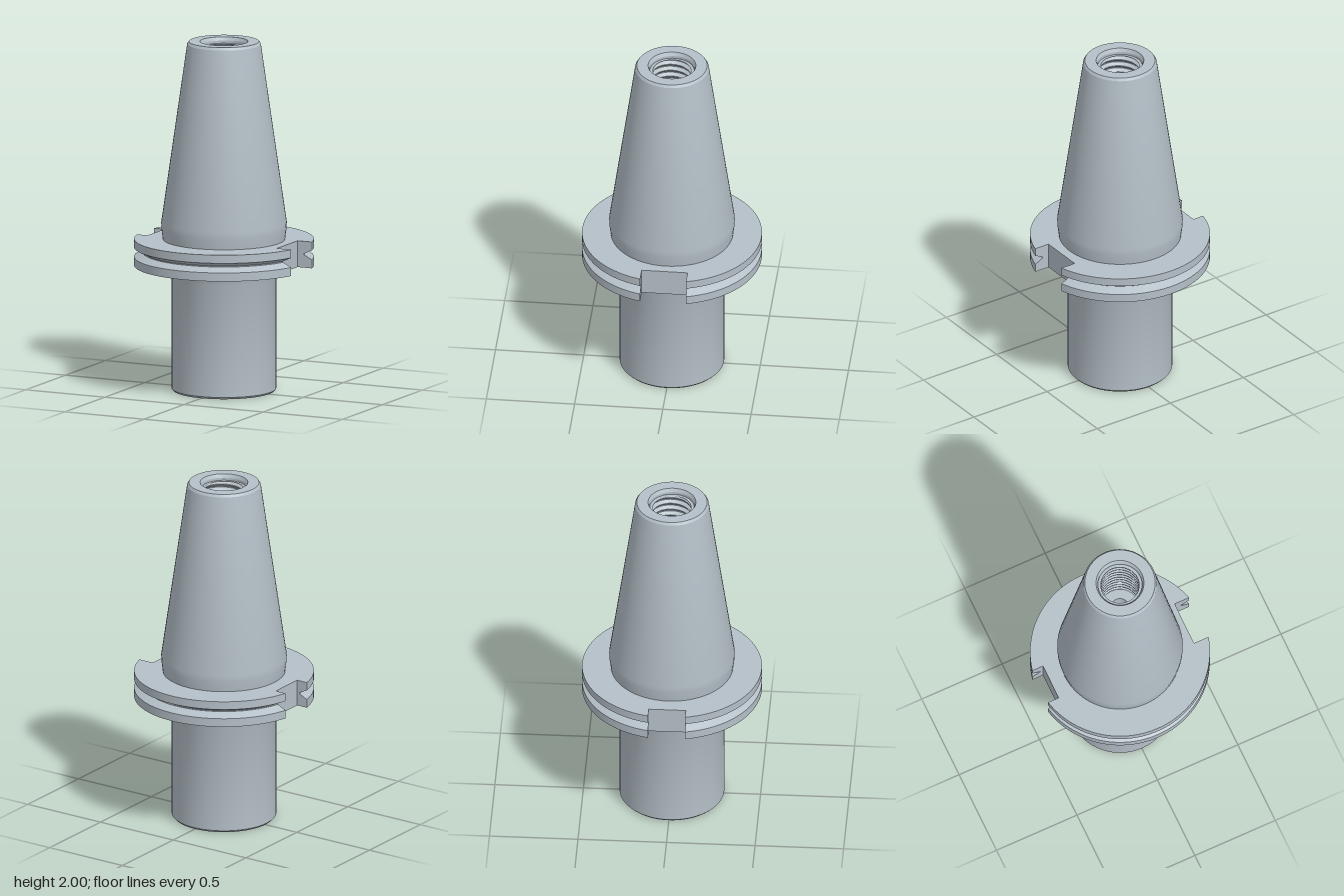
import * as THREE from 'three';
import { toCreasedNormals } from 'three/addons/utils/BufferGeometryUtils.js';

const steel = new THREE.MeshStandardMaterial({ color: 0xb5c0c8 });
steel.name = 'steel';

function part(name, geometry, parent) {
  const mesh = new THREE.Mesh(geometry, steel);
  mesh.name = name;
  parent.add(mesh);
  return mesh;
}

// Profile of [radius, y]; rising points face outward, falling points face inward
function turned(profile, segments = 64) {
  const points = profile.map(([r, y]) => new THREE.Vector2(r, y));
  return new THREE.LatheGeometry(points, segments);
}
const crisp = (geometry) => toCreasedNormals(geometry, 0.4);

function circle(x, y, r) {
  return new THREE.Path().absarc(x, y, r, 0, Math.PI * 2, true);
}

// Flat face at height y, looking up or down
function flatFace(shape, y, up) {
  return new THREE.ShapeGeometry(shape, 32).rotateX(up ? -Math.PI / 2 : Math.PI / 2).translate(0, y, 0);
}

function blindHole(name, x, y, z, r, depth, parent) {
  const hole = part(name, crisp(turned([[0, depth], [r, depth], [r, 0]], 32)), parent);
  hole.position.set(x, y, z);
}

// Round flange outline of radius R with two drive slots of different size
function flangeOutline(R) {
  const a = Math.asin(0.13 / R), b = Math.asin(0.105 / R), steps = 48;
  const points = [];
  const add = (x, z) => points.push(new THREE.Vector2(x, z));
  const arc = (from, to) => {
    for (let i = 0; i <= steps; i++) {
      const t = from + (to - from) * i / steps;
      add(R * Math.cos(t), R * Math.sin(t));
    }
  };
  add(0.4, -0.13);
  add(0.4, 0.13);
  arc(a, Math.PI - b);
  add(-0.43, 0.105);
  add(-0.43, -0.105);
  arc(Math.PI + b, Math.PI * 2 - a);
  return points;
}

// Wall lofted through the flange outline at each [radius, y] level
function flangeWall(levels) {
  const positions = [], index = [];
  const n = flangeOutline(levels[0][0]).length;
  levels.forEach(([R, y], k) => {
    flangeOutline(R).forEach((p) => positions.push(p.x, y, p.y));
    if (k === 0) return;
    for (let i = 0; i < n; i++) {
      const j = (i + 1) % n, lo = (k - 1) * n, hi = k * n;
      index.push(lo + i, hi + i, lo + j, hi + i, hi + j, lo + j);
    }
  });
  const geometry = new THREE.BufferGeometry();
  geometry.setAttribute('position', new THREE.Float32BufferAttribute(positions, 3));
  geometry.setIndex(index);
  return crisp(geometry);
}

// Internal screw thread: a zigzag bore sheared into a helix and trimmed at both ends
function threadGeometry(top, bottom, major, minor, pitch) {
  const profile = [];
  for (let y = top + pitch; y > bottom - pitch * 2; y -= pitch) {
    profile.push([major, y], [major, y - pitch * 0.12], [minor, y - pitch * 0.5], [minor, y - pitch * 0.62]);
  }
  const segments = 48;
  const geometry = turned(profile, segments);
  const pos = geometry.attributes.position;
  for (let i = 0; i < pos.count; i++) {
    const turn = Math.floor(i / profile.length) / segments;
    pos.setY(i, THREE.MathUtils.clamp(pos.getY(i) + pitch * turn, bottom, top));
  }
  return crisp(geometry);
}

export function createModel() {
  const model = new THREE.Group();
  model.name = 'toolHolder';
  const flangeLow = 0.717, flangeHigh = 0.868, R = 0.507;

  // Tapered shank with its rim and bore mouth
  part('taperShank', crisp(turned([
    [0.345, flangeHigh], [0.353, 0.93], [0.354, 0.965], [0.208, 1.985], [0.198, 2],
    [0.135, 2], [0.125, 1.98], [0.125, 1.965],
  ])), model);

  // Threaded bore, its floor and the through channel down to the tool bore
  part('innerThread', threadGeometry(1.965, 1.6, 0.125, 0.108, 0.04), model);
  part('innerBore', crisp(turned([
    [0.126, 1.6], [0.052, 1.6], [0.052, 0.75], [0.124, 0.75], [0.124, 0.012], [0.132, 0],
  ])), model);

  // Flange with V groove and drive slots
  const flange = new THREE.Group();
  flange.name = 'flange';
  model.add(flange);
  part('flangeWall', flangeWall([
    [R, flangeLow], [R, 0.766], [0.458, 0.791], [0.458, 0.797], [R, 0.821], [R, flangeHigh],
  ]), flange);
  const topShape = new THREE.Shape(flangeOutline(R));
  topShape.holes.push(circle(0, 0, 0.344));
  part('flangeTop', flatFace(topShape, flangeHigh, true), flange);

  // Underside with two blind balance holes
  const underShape = new THREE.Shape(flangeOutline(R));
  underShape.holes.push(circle(0, 0, 0.319));
  for (const degrees of [30, 60]) {
    const t = THREE.MathUtils.degToRad(180 + degrees);
    const x = 0.41 * Math.cos(t), z = 0.41 * Math.sin(t);
    underShape.holes.push(circle(x, z, 0.078));
    blindHole('balanceHole', x, flangeLow, z, 0.078, 0.045, flange);
  }
  part('flangeUnderside', flatFace(underShape, flangeLow, false), flange);

  // Cylindrical nose with a flared collar below the flange
  part('nose', crisp(turned([
    [0.284, 0], [0.295, 0.012], [0.295, 0.655], [0.32, flangeLow],
  ])), model);

  // End face with the tool bore and two small coolant holes
  const endShape = new THREE.Shape().absarc(0, 0, 0.284, 0, Math.PI * 2, false);
  endShape.holes.push(circle(0, 0, 0.132));
  for (const side of [-1, 1]) {
    endShape.holes.push(circle(0, side * 0.237, 0.018));
    blindHole('coolantHole', 0, 0, side * 0.237, 0.018, 0.3, model);
  }
  part('noseEndFace', flatFace(endShape, 0, false), model);

  return model;
}
